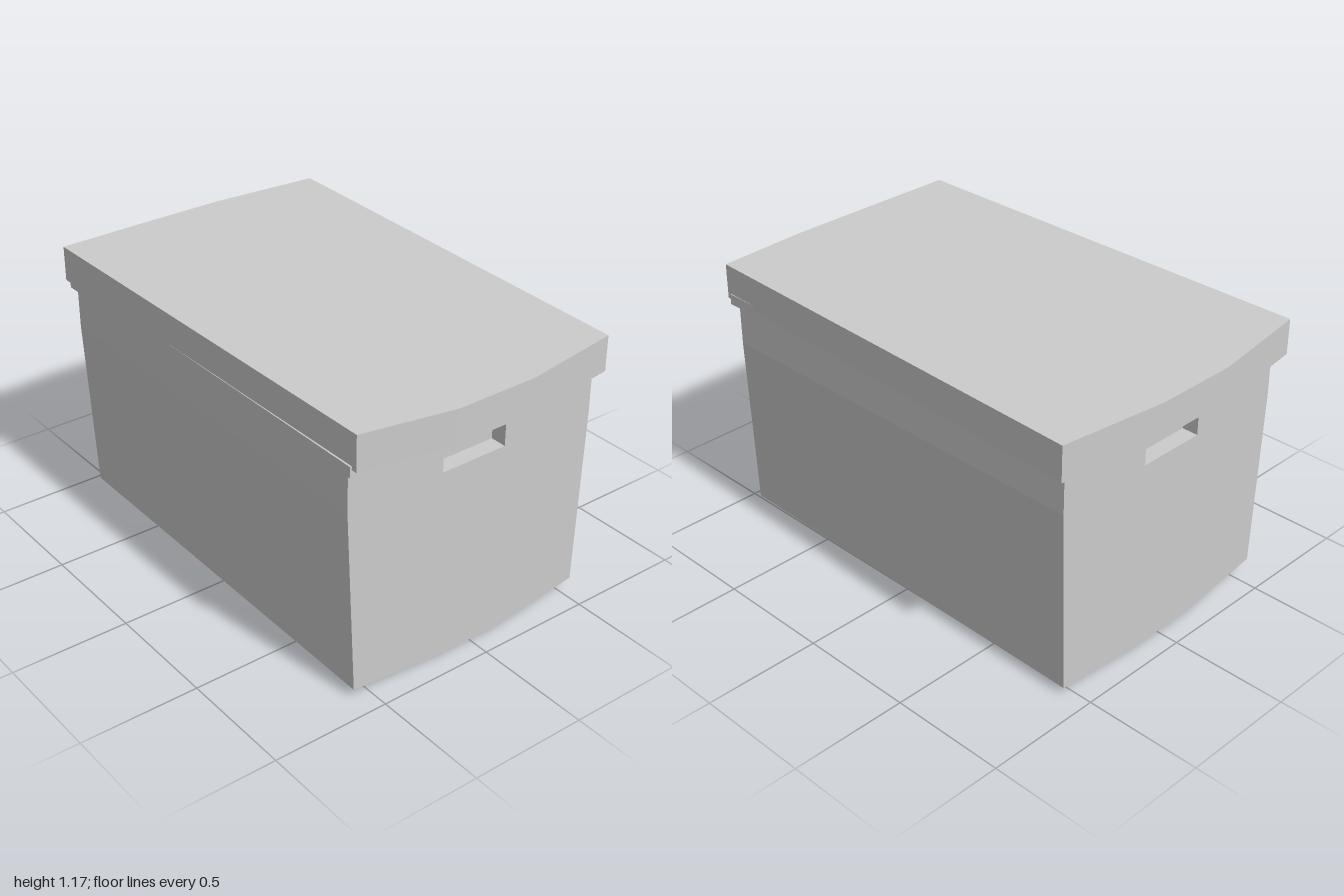
import * as THREE from 'three';

const material = new THREE.MeshStandardMaterial({ color: 0xcccccc, flatShading: true });

// End outline of the body as [z, y], sagging at the bottom
const outline = [
  [0.57, 0.048], [0.16, 0], [-0.14, 0], [-0.54, 0.044],
  [-0.565, 0.82], [-0.565, 1.0], [0.605, 1.0], [0.605, 0.82],
];

function addMesh(group, name, geometry) {
  const mesh = new THREE.Mesh(geometry, material);
  mesh.name = name;
  group.add(mesh);
}

// Extrudes the outline along x, with an optional hand hole
function bodySection(x0, x1, withHole) {
  const shape = new THREE.Shape(outline.map(([z, y]) => new THREE.Vector2(-z, y)));
  if (withHole) {
    const hole = [[-0.17, 0.83], [-0.17, 0.945], [0.13, 0.945], [0.13, 0.83]];
    shape.holes.push(new THREE.Path(hole.map(([u, y]) => new THREE.Vector2(u, y))));
  }
  const geometry = new THREE.ExtrudeGeometry(shape, { depth: x1 - x0, bevelEnabled: false });
  geometry.rotateY(Math.PI / 2).translate(x0, 0, 0);
  // Slight twist of the lower front and back edges
  const p = geometry.attributes.position;
  for (let i = 0; i < p.count; i++) {
    const y = p.getY(i);
    if (y > 0.01 && y < 0.1) p.setY(i, y - 0.0225 * p.getX(i) * p.getZ(i));
  }
  geometry.computeVertexNormals();
  return geometry;
}

// Closed slab between two edges; stations run front to back as [z, x, top, bottom]
function slab(left, right) {
  const positions = [];
  const quad = (a, b, c, d) => [a, b, c, a, c, d].forEach((v) => positions.push(...v));
  const rings = left.map((l, i) => {
    const r = right[i];
    return [[l[1], l[3], l[0]], [r[1], r[3], r[0]], [r[1], r[2], r[0]], [l[1], l[2], l[0]]];
  });
  for (let i = 0; i < rings.length - 1; i++) {
    const a = rings[i], b = rings[i + 1];
    for (let k = 0; k < 4; k++) {
      const n = (k + 1) % 4;
      quad(a[k], b[k], b[n], a[n]);
    }
  }
  const last = rings[rings.length - 1];
  quad(...rings[0]);
  quad(last[1], last[0], last[3], last[2]);
  const geometry = new THREE.BufferGeometry();
  geometry.setAttribute('position', new THREE.Float32BufferAttribute(positions, 3));
  geometry.computeVertexNormals();
  return geometry;
}

export function createModel() {
  const box = new THREE.Group();
  box.name = 'storageBox';

  // Body with a recessed hand hole in each end
  const body = new THREE.Group();
  body.name = 'body';
  addMesh(body, 'bodyCore', bodySection(-0.83, 0.83, false));
  addMesh(body, 'rightEnd', bodySection(-0.9, -0.83, true));
  addMesh(body, 'leftEnd', bodySection(0.83, 0.9, true));
  box.add(body);

  // Thin rim under the lid
  const rimEdge = (x) => [[0.62, x, 1.04, 0.995], [-0.585, x, 1.04, 0.995]];
  addMesh(box, 'rim', slab(rimEdge(-0.93), rimEdge(0.93)));

  // Sagging lid with bowed ends
  addMesh(box, 'lid', slab(
    [[0.625, -0.955, 1.17, 1.02], [0.2, -1, 1.15, 1.005], [-0.16, -1, 1.15, 1.005], [-0.635, -0.95, 1.157, 1.007]],
    [[0.612, 0.955, 1.175, 1.025], [0.2, 1, 1.15, 1.005], [-0.16, 1, 1.15, 1.005], [-0.58, 0.95, 1.165, 1.015]],
  ));
  return box;
}
